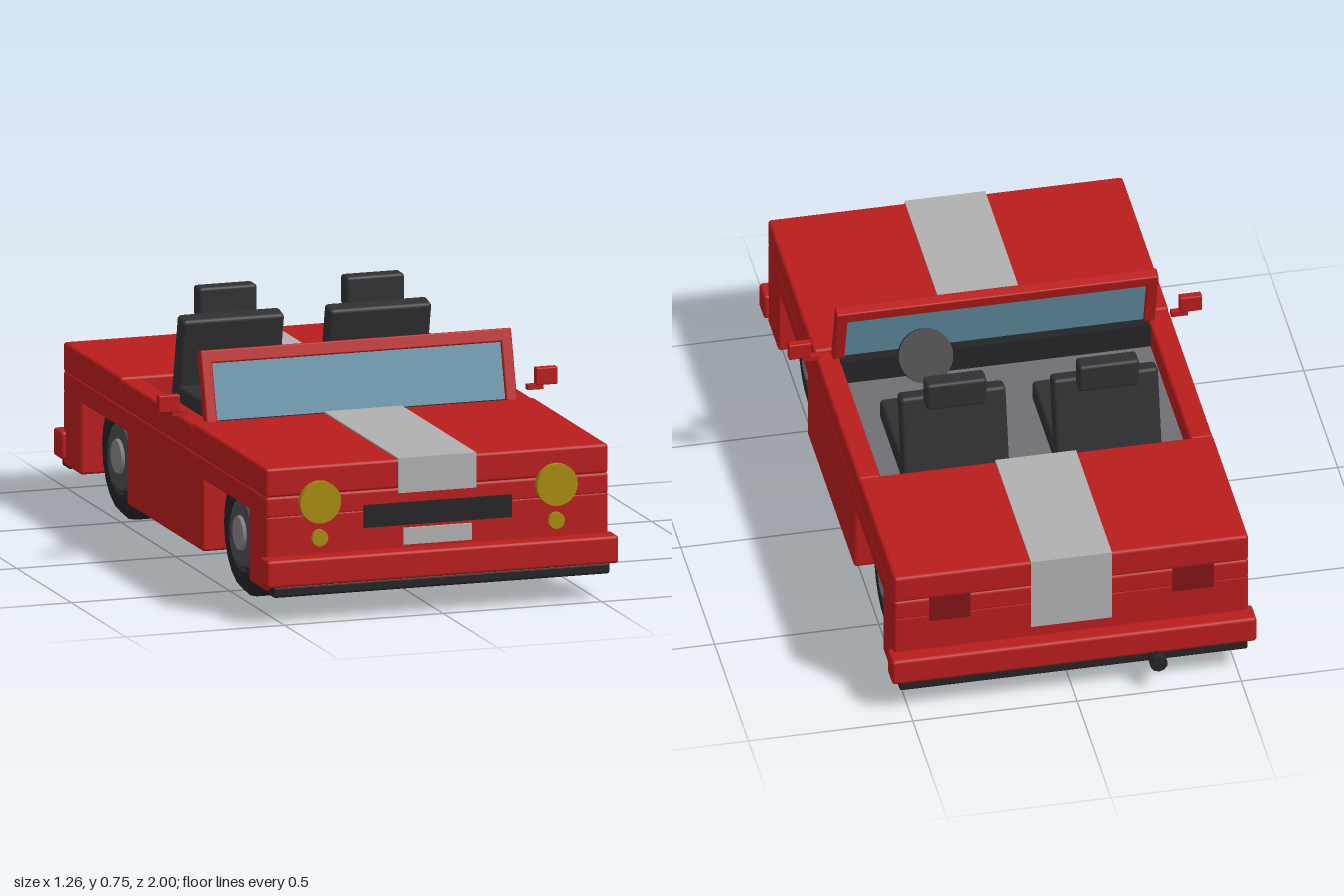
import * as THREE from 'three';
import { RoundedBoxGeometry } from 'three/addons/geometries/RoundedBoxGeometry.js';

const mat = (color) => new THREE.MeshStandardMaterial({ color });
const red = mat(0xb81c1c), black = mat(0x242427), seatGrey = mat(0x303033);
const floorGrey = mat(0x707074), stripeGrey = mat(0xb0b0b0), glass = mat(0x6593a8);
const yellow = mat(0xa88c0c), tailRed = mat(0x80141a), rimGrey = mat(0x4c4c50), capGrey = mat(0x848488);
black.flatShading = true;

export function createModel() {
  const car = new THREE.Group();
  car.name = 'convertibleCar';

  const add = (name, geometry, material, parent = car) => {
    const mesh = new THREE.Mesh(geometry, material);
    mesh.name = name;
    parent.add(mesh);
    return mesh;
  };
  // Box given by its limits on each axis; r > 0 rounds the edges
  const box = (name, material, [x0, x1], [y0, y1], [z0, z1], r = 0, parent = car) => {
    const w = x1 - x0, h = y1 - y0, d = z1 - z0;
    const geo = r ? new RoundedBoxGeometry(w, h, d, 2, r) : new THREE.BoxGeometry(w, h, d);
    const mesh = add(name, geo, material, parent);
    mesh.position.set((x0 + x1) / 2, (y0 + y1) / 2, (z0 + z1) / 2);
    return mesh;
  };
  const W = 0.54, across = [-W, W];

  // Body: lower blocks between the wheels, a belt, and the upper panels
  box('frontLowerBody', red, across, [0.095, 0.325], [0.786, 0.945], 0.01);
  box('middleLowerBody', red, across, [0.095, 0.325], [-0.33, 0.364], 0.01);
  box('rearLowerBody', red, across, [0.095, 0.325], [-0.915, -0.754], 0.01);
  box('bodyBelt', red, across, [0.315, 0.383], [-0.915, 0.945], 0.01);
  box('hood', red, across, [0.38, 0.47], [0.265, 0.945], 0.01);
  box('rearDeck', red, across, [0.38, 0.47], [-0.915, -0.39], 0.01);
  box('wheelWellLining', black, [-0.5, 0.5], [0.308, 0.318], [-0.9, 0.93]);

  // Cockpit
  box('cockpitFloor', floorGrey, [-0.475, 0.475], [0.375, 0.388], [-0.39, 0.265]);
  box('dashboard', black, [-0.47, 0.47], [0.38, 0.466], [0.195, 0.268]);
  for (const s of [-1, 1]) {
    const x = s * 0.505;
    box('cockpitSide', red, [x - 0.035, x + 0.035], [0.38, 0.465], [-0.39, 0.265], 0.01);
  }

  // Stripe over the hood, deck and both ends
  const sx = [-0.123, 0.123];
  box('hoodStripe', stripeGrey, sx, [0.46, 0.474], [0.265, 0.949]);
  box('frontStripe', stripeGrey, sx, [0.367, 0.474], [0.94, 0.949]);
  box('deckStripe', stripeGrey, sx, [0.46, 0.474], [-0.919, -0.39]);
  box('rearStripe', stripeGrey, sx, [0.235, 0.474], [-0.919, -0.91]);

  // Grille, plate, bumpers and the dark valances below
  box('grille', black, [-0.232, 0.232], [0.27, 0.338], [0.93, 0.955]);
  box('licensePlate', stripeGrey, [-0.108, 0.106], [0.21, 0.26], [0.93, 0.955]);
  box('frontBumper', red, [-0.555, 0.555], [0.115, 0.2], [0.925, 1], 0.01);
  box('rearBumper', red, [-0.555, 0.555], [0.115, 0.2], [-0.965, -0.888], 0.01);
  box('frontValance', black, [-0.53, 0.53], [0.083, 0.118], [0.93, 0.99], 0.008);
  box('rearValance', black, [-0.53, 0.53], [0.083, 0.118], [-0.955, -0.893], 0.008);

  // Exhaust
  const exhaust = add('exhaustPipe', new THREE.CylinderGeometry(0.026, 0.026, 0.13, 10), black);
  exhaust.rotation.x = Math.PI / 2;
  exhaust.position.set(-0.25, 0.1, -0.935);

  // Lamps and mirrors on both sides
  for (const s of [-1, 1]) {
    for (const [name, y, r, d] of [['headlight', 0.36, 0.064, 0.04], ['turnSignal', 0.25, 0.025, 0.03]]) {
      const lamp = add(name, new THREE.CylinderGeometry(r, r, d, 28), yellow);
      lamp.rotation.x = Math.PI / 2;
      lamp.position.set(s * 0.373, y, 0.945);
    }
    const tx = s * 0.37;
    box('tailLight', tailRed, [tx - 0.062, tx + 0.062], [0.305, 0.39], [-0.923, -0.9]);
    const ax = s * 0.56, mx = s * 0.595;
    box('mirrorArm', red, [ax - 0.025, ax + 0.025], [0.482, 0.498], [0.2, 0.22]);
    box('mirrorHousing', red, [mx - 0.034, mx + 0.034], [0.495, 0.548], [0.198, 0.224], 0.004);
  }

  // Windshield, raked backwards about its base
  const windshield = new THREE.Group();
  windshield.name = 'windshield';
  windshield.position.set(0, 0.465, 0.238);
  windshield.rotation.x = -0.27;
  car.add(windshield);
  box('windshieldGlass', glass, [-0.46, 0.46], [-0.01, 0.18], [-0.008, 0.008], 0, windshield);
  box('windshieldTop', red, [-0.49, 0.49], [0.17, 0.21], [-0.018, 0.018], 0.005, windshield);
  for (const x of [-0.4725, 0.4725]) {
    box('windshieldPost', red, [x - 0.0175, x + 0.0175], [-0.03, 0.2], [-0.018, 0.018], 0.005, windshield);
  }

  // Seats
  for (const x of [-0.232, 0.232]) {
    const wide = [x - 0.161, x + 0.161];
    box('seatCushion', seatGrey, wide, [0.385, 0.455], [-0.32, 0.01], 0.012);
    const back = box('seatBack', seatGrey, wide, [0.4, 0.67], [-0.328, -0.27], 0.012);
    back.rotation.x = 0.22;
    box('headrest', seatGrey, [x - 0.092, x + 0.092], [0.655, 0.747], [-0.352, -0.295], 0.01);
    box('headrestMount', seatGrey, [x - 0.06, x + 0.06], [0.64, 0.67], [-0.325, -0.28]);
  }

  // Steering wheel and column share one tilted axis
  const steering = new THREE.Group();
  steering.name = 'steering';
  steering.position.set(0.23, 0.51, 0.12);
  steering.rotation.x = -0.98;
  car.add(steering);
  add('steeringWheel', new THREE.CylinderGeometry(0.083, 0.083, 0.016, 24), black, steering);
  add('steeringColumn', new THREE.CylinderGeometry(0.025, 0.025, 0.12, 10), black, steering).position.y = -0.06;

  // Wheels: lathed tyre with chamfered shoulders, rim and cap
  const tyreProfile = [[0.01, -0.087], [0.14, -0.087], [0.17, -0.08], [0.193, -0.055], [0.193, 0.055],
    [0.17, 0.08], [0.14, 0.087], [0.118, 0.084], [0.112, 0.07], [0.01, 0.07]].map(([r, y]) => new THREE.Vector2(r, y));
  for (const s of [-1, 1]) {
    for (const z of [0.578, -0.54]) {
      const wheel = new THREE.Group();
      wheel.name = z > 0 ? 'frontWheel' : 'rearWheel';
      wheel.position.set(s * 0.407, 0.195, z);
      wheel.rotation.z = -s * Math.PI / 2;
      car.add(wheel);
      add('tyre', new THREE.LatheGeometry(tyreProfile, 20), black, wheel);
      add('rim', new THREE.CylinderGeometry(0.1, 0.113, 0.03, 20), rimGrey, wheel).position.y = 0.07;
      add('hubCap', new THREE.CylinderGeometry(0.05, 0.058, 0.02, 20), capGrey, wheel).position.y = 0.085;
    }
  }
  return car;
}
